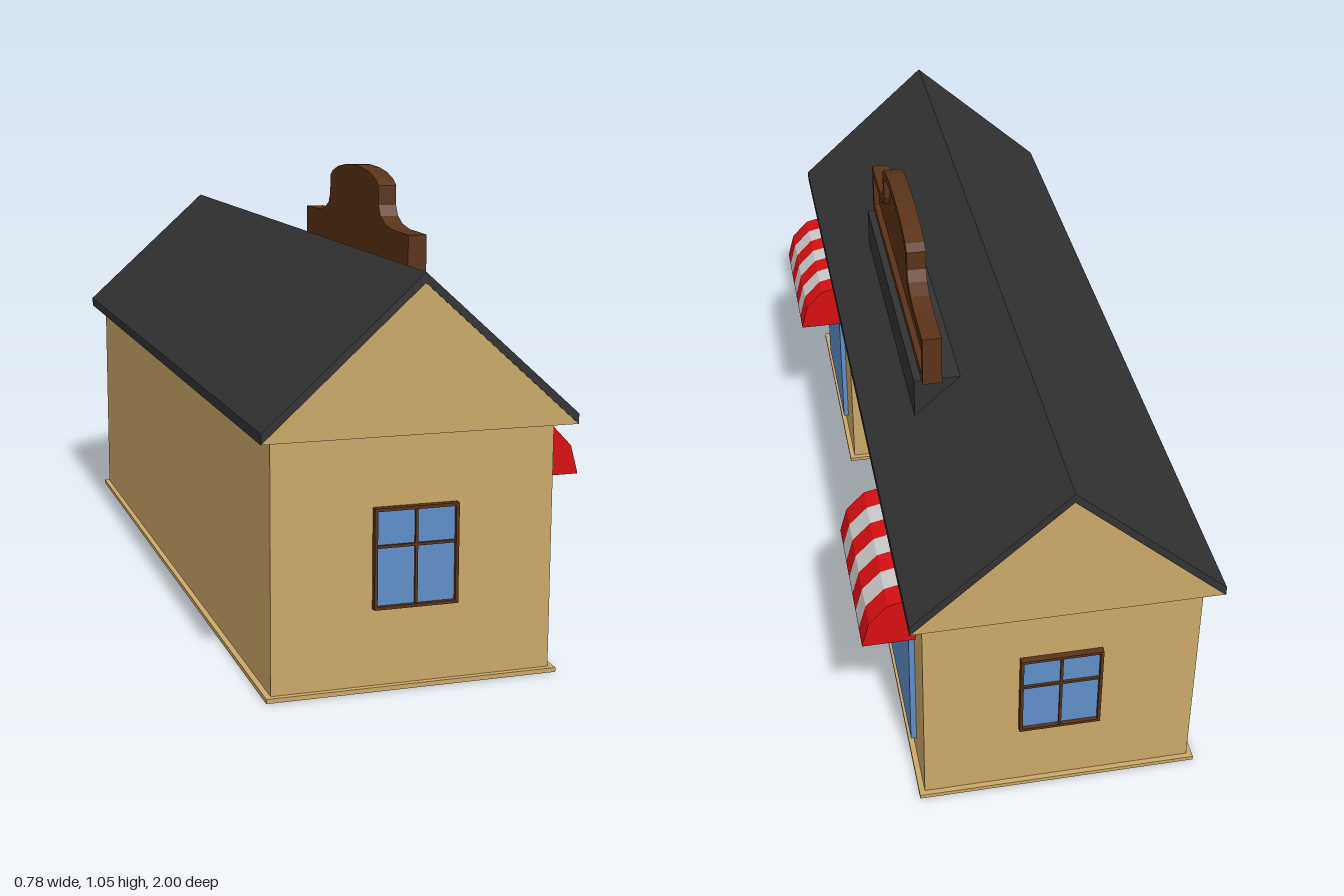
import * as THREE from 'three';

const mat = (color) => new THREE.MeshStandardMaterial({ color });
const tan = mat(0xcaa868), dark = mat(0x333333), brown = mat(0x5a3318), doorBrown = mat(0x574235),
  blue = mat(0x5f8fc9), red = mat(0xd80f12), grey = mat(0xcccccc);

export function createModel() {
  const model = new THREE.Group();

  const add = (name, geometry, material, parent = model) => {
    const mesh = new THREE.Mesh(geometry, material);
    mesh.name = name;
    parent.add(mesh);
    return mesh;
  };
  // Box given by its limits on each axis
  const box = (name, [x0, x1], [y0, y1], [z0, z1], material, parent) =>
    add(name, new THREE.BoxGeometry(x1 - x0, y1 - y0, z1 - z0)
      .translate((x0 + x1) / 2, (y0 + y1) / 2, (z0 + z1) / 2), material, parent);
  const toShape = (pts) => new THREE.Shape(pts.map(([a, b]) => new THREE.Vector2(a, b)));
  const extrude = (shape, depth) =>
    new THREE.ExtrudeGeometry(shape, { depth, bevelEnabled: false });
  // Profile in x and y, swept from z0 to z1
  const sweepZ = (name, pts, z0, z1, material, parent) =>
    add(name, extrude(toShape(pts), z1 - z0).translate(0, 0, z0), material, parent);

  // Walls and base share a floor plan with a recessed entrance; g widens it
  const floorPlan = (g) => toShape([
    [-0.358, -0.95], [0.27, -0.95], [0.27, -0.32], [0.103, -0.32],
    [0.103, 0.36], [0.27, 0.36], [0.27, 0.95], [-0.358, 0.95],
  ].map(([x, y], i) => [
    x + (x < 0 ? -g : g),
    y + ([0, 1, 4, 5].includes(i) ? -g : g),
  ]));
  const storey = (name, g, y0, y1) =>
    add(name, extrude(floorPlan(g), y1 - y0).rotateX(-Math.PI / 2).translate(0, y0, 0), tan);
  storey('base', 0.013, 0, 0.01);
  storey('walls', 0, 0.01, 0.56);

  // Gable block and roof sheet
  const ridge = -0.043, left = -0.39, right = 0.304;
  sweepZ('gable', [[left, 0.56], [right, 0.56], [ridge, 0.873]], -0.998, 0.998, tan);
  sweepZ('roof', [[left, 0.56], [ridge, 0.873], [right, 0.56], [right, 0.583],
    [ridge, 0.895], [left, 0.583]], -1, 1, dark);

  // Sign on its plinth, with a raised rim on the shop side
  box('signPlinth', [0.082, 0.195], [0.66, 0.78], [-0.4, 0.4], dark);
  const signOutline = (d) => {
    const half = [[0.417, 0.905], [0.3, 0.907], [0.25, 0.915], [0.215, 0.932], [0.2, 0.958],
      [0.2, 1.006], [0.18, 1.02], [0.13, 1.035], [0.07, 1.043]].map(([z, y]) => [z - d, y - d]);
    return [[0.417 - d, 0.78 + d], ...half, [0, 1.046 - d],
      ...half.map(([z, y]) => [-z, y]).reverse(), [-0.417 + d, 0.78 + d]];
  };
  const rim = toShape(signOutline(0));
  rim.holes.push(toShape(signOutline(0.018)));
  const signPart = (name, shape, x0, x1) =>
    add(name, extrude(shape, x1 - x0).rotateY(Math.PI / 2).translate(x0, 0, 0), brown);
  signPart('signBoard', toShape(signOutline(0)), 0.131, 0.162);
  signPart('signRim', rim, 0.162, 0.177);

  // Double door in the recess
  const door = new THREE.Group();
  door.name = 'door';
  model.add(door);
  box('lintel', [0.1, 0.125], [0.4, 0.43], [-0.222, 0.198], brown, door);
  for (const z of [-0.222, 0.19]) box('doorPost', [0.1, 0.125], [0.01, 0.4], [z, z + 0.008], brown, door);
  for (const z of [-0.214, -0.01]) {
    box('doorLeaf', [0.1, 0.113], [0.01, 0.4], [z + 0.001, z + 0.199], doorBrown, door);
    for (const s of [0.022, 0.112]) {
      box('lowerPanel', [0.11, 0.117], [0.04, 0.19], [z + s, z + s + 0.066], doorBrown, door);
      box('upperPanel', [0.11, 0.117], [0.23, 0.37], [z + s + 0.012, z + s + 0.054], doorBrown, door);
    }
  }

  // Shop windows, each under a striped awning
  const profile = [[0.27, 0.408], [0.39, 0.408], [0.373, 0.47], [0.33, 0.515], [0.27, 0.529]];
  for (const mid of [0.624, -0.658]) {
    const bay = new THREE.Group();
    bay.name = 'shopBay';
    model.add(bay);
    box('shopWindow', [0.265, 0.283], [0.06, 0.42], [mid - 0.174, mid + 0.174], blue, bay);
    const width = 0.395 / 7;
    for (let i = 0; i < 7; i++) {
      const z = mid - 0.1975 + i * width;
      sweepZ('awningStripe', profile, z, z + width, i % 2 ? grey : red, bay);
    }
    box('awningUnderside', [0.27, 0.39], [0.404, 0.408], [mid - 0.1975, mid + 0.1975], red, bay);
  }

  // Four-pane window on each end wall
  for (const turn of [0, Math.PI]) {
    const win = new THREE.Group();
    win.name = 'endWindow';
    const z = [0.94, 0.965], bar = [0.94, 0.962];
    box('glass', [-0.092, 0.092], [0.182, 0.398], [0.94, 0.956], blue, win);
    for (const x of [-0.094, 0.087]) box('frameSide', [x, x + 0.007], [0.18, 0.4], z, brown, win);
    for (const y of [0.18, 0.393]) box('frameRail', [-0.087, 0.087], [y, y + 0.007], z, brown, win);
    box('mullion', [-0.003, 0.003], [0.187, 0.393], bar, brown, win);
    box('transom', [-0.087, 0.087], [0.313, 0.319], bar, brown, win);
    win.position.x = -0.042;
    win.rotation.y = turn;
    model.add(win);
  }

  return model;
}
